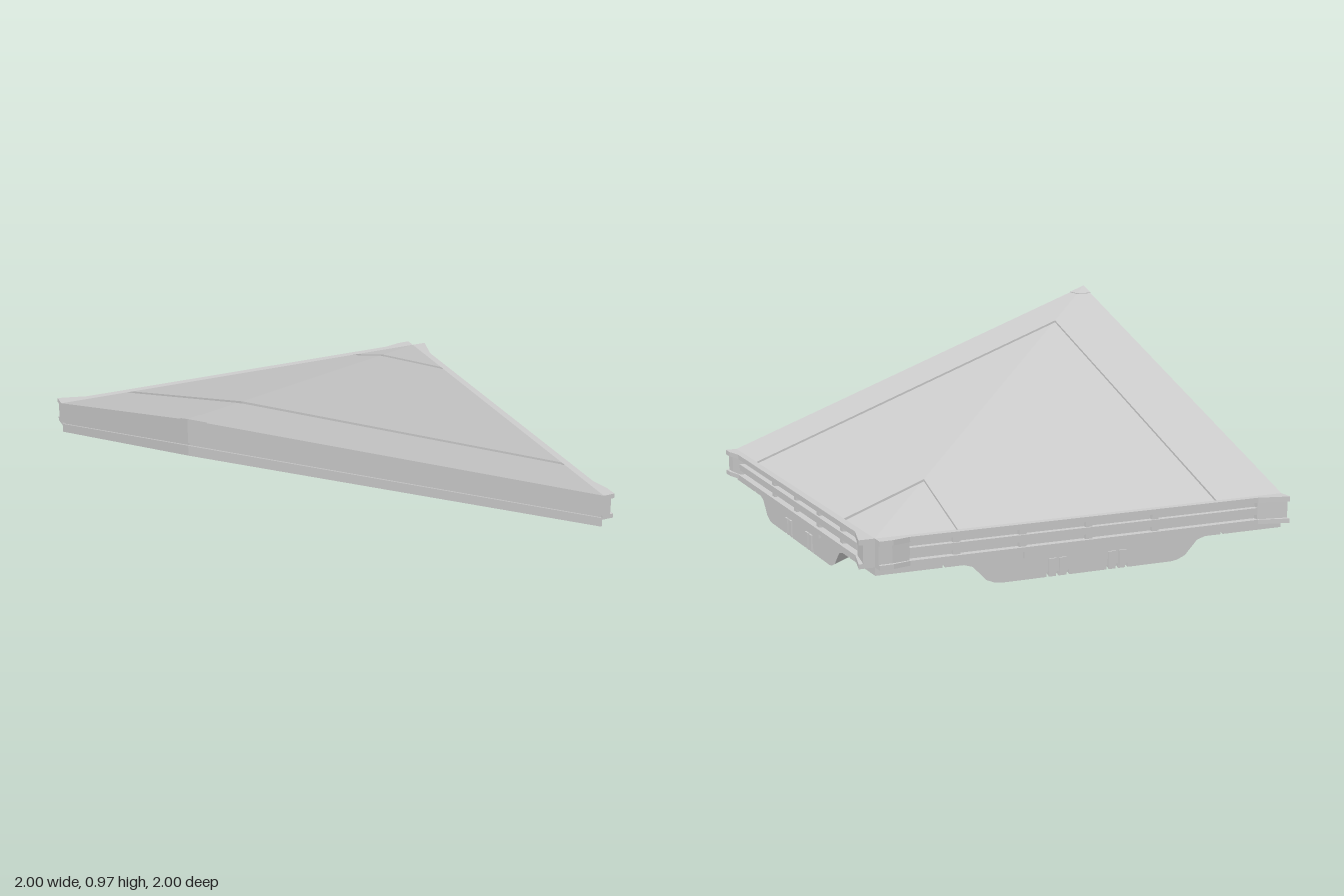
import * as THREE from 'three';

const grey = new THREE.MeshStandardMaterial({ color: 0xcccccc, flatShading: true });
const EAVE = -0.93, FAR = 0.93, RIDGE = -1;
const SLOPE = 0.72 / 1.93;
const roofY = (z) => 0.25 + SLOPE * (z - EAVE);

const shapeOf = (pts) => new THREE.Shape(pts.map(([a, b]) => new THREE.Vector2(a, b)));

// Sweeps a cross-section (x, height offset) up the slope from z0 to the diagonal hip
function sweepToHip(pts, z0 = EAVE) {
  const geo = new THREE.ExtrudeGeometry(shapeOf(pts), { depth: 1, steps: 1, bevelEnabled: false });
  const p = geo.attributes.position;
  for (let i = 0; i < p.count; i++) {
    const z = p.getZ(i) > 0.5 ? -p.getX(i) : z0;
    p.setXYZ(i, p.getX(i), roofY(z) + p.getY(i), z);
  }
  geo.computeVertexNormals();
  return geo;
}

// Reflects a geometry across the hip, (x, z) -> (-z, -x), and restores its winding
function mirrorAcrossHip(source) {
  const geo = source.index ? source.toNonIndexed() : source.clone();
  const p = geo.attributes.position;
  const v = [0, 1, 2].map(() => new THREE.Vector3());
  for (let i = 0; i < p.count; i += 3) {
    v.forEach((q, k) => q.fromBufferAttribute(p, i + k));
    [0, 2, 1].forEach((k, j) => p.setXYZ(i + j, -v[k].z, v[k].y, -v[k].x));
  }
  geo.computeVertexNormals();
  return geo;
}

// Square groove cut into a profile line running from a to b
const groove = (a, b, v, depth) => [[a, v], [a, v + depth], [b, v + depth], [b, v]];

// Roof slab: grooved top, edge slot, and a broad trapezoid rib underneath
function slabProfile() {
  const under = -0.155, rib = -0.25;
  const bottom = [
    [RIDGE, under],
    ...groove(-0.7, -0.69, under, 0.01),
    [-0.61, under], [-0.57, -0.167], [-0.51, -0.23], [-0.47, -0.246], [-0.44, rib],
    ...[-0.22, -0.175, -0.13, 0.06, 0.11, 0.155].flatMap((x) => groove(x - 0.006, x + 0.006, rib, 0.02)),
    [0.37, rib], [0.4, -0.246], [0.44, -0.23], [0.5, -0.167], [0.54, under],
    ...groove(0.625, 0.635, under, 0.01),
    [FAR, under],
  ];
  return [
    [RIDGE, 0],
    ...groove(-0.665, -0.632, 0, -0.01),
    ...groove(0.567, 0.6, 0, -0.01),
    [FAR, 0],
    ...bottom.reverse(),
    [RIDGE, -0.112], [RIDGE + 0.01, -0.112], [RIDGE + 0.01, -0.1], [RIDGE, -0.1],
  ];
}

// Horizontal strip along the eave from a plan outline (x, outward distance)
function eaveStrip(pts, y0, y1) {
  const geo = new THREE.ExtrudeGeometry(shapeOf(pts), { depth: y1 - y0, bevelEnabled: false });
  return geo.rotateX(-Math.PI / 2).translate(0, y0, EAVE);
}
const eaveBox = (x0, x1, y0, y1, d) => eaveStrip([[x0, 0], [x1, 0], [x1, d], [x0, d]], y0, y1);

// Eave rail with flared ends: one end pointed, the other blunt
function railGeometries(pointedAtRidge) {
  const pointed = [[0, 0.07], [0.14, 0.033]];
  const blunt = [[0, 0.055], [0.06, 0.053], [0.14, 0.033]];
  const [left, right] = pointedAtRidge ? [pointed, blunt] : [blunt, pointed];
  const ends = (k) => [
    left.map(([s, d]) => [RIDGE + s, d * k]),
    right.map(([s, d]) => [FAR - s, d * k]).reverse(),
  ];
  const [l, r] = ends(1);
  const [lw, rw] = ends(0.72);
  const lip = [[RIDGE, 0], ...l, ...r, [FAR, 0]];
  return [
    ['upperRailLip', eaveStrip(lip, 0.228, 0.25)],
    ['lowerRailLip', eaveStrip(lip, 0.13, 0.15)],
    ['railEndBlock', eaveStrip([[RIDGE, 0], ...lw, [RIDGE + 0.14, 0]], 0.15, 0.228)],
    ['railEndBlock', eaveStrip([[FAR - 0.14, 0], ...rw, [FAR, 0]], 0.15, 0.228)],
    ['railMiddleBar', eaveBox(-0.86, 0.79, 0.172, 0.202, 0.027)],
    ...[-0.35, -0.03, 0.28, 0.58].map((x) => ['railClip', eaveBox(x - 0.016, x + 0.016, 0.15, 0.228, 0.018)]),
  ];
}

export function createModel() {
  const model = new THREE.Group();
  model.name = 'hipRoofCorner';

  // Parts shared by both slopes
  const shared = [
    ['roofSlab', sweepToHip(slabProfile())],
    ['peakCap', sweepToHip([[RIDGE, 0.003], [-0.92, 0.003], [-0.92, -0.02], [RIDGE, -0.02]], 0.92)],
    ['fasciaLedge', eaveBox(-0.36, 0.27, 0.095, 0.13, 0.012)],
    ...[-0.2, -0.148, 0.085, 0.135].map((x) => ['fasciaTab', eaveBox(x - 0.018, x + 0.018, 0.012, 0.08, 0.008)]),
  ];

  // Back slope, and right slope reflected across the hip
  for (const isBack of [true, false]) {
    const side = new THREE.Group();
    side.name = isBack ? 'backSlope' : 'leftSlope';
    for (const [name, geo] of [...shared, ...railGeometries(isBack)]) {
      const mesh = new THREE.Mesh(isBack ? geo : mirrorAcrossHip(geo), grey);
      mesh.name = name;
      side.add(mesh);
    }
    model.add(side);
  }
  return model;
}
